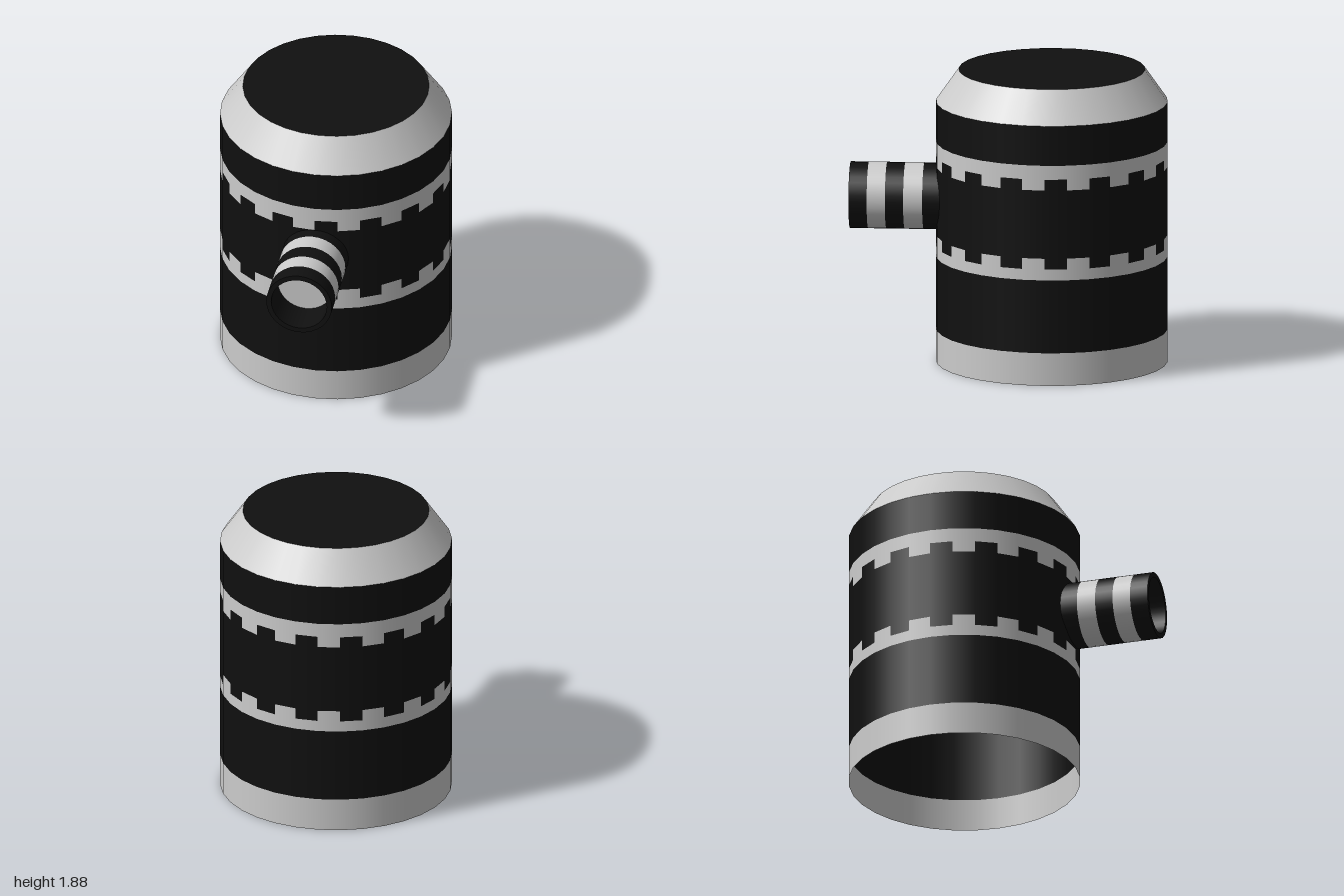
import * as THREE from 'three';
import { mergeGeometries } from 'three/addons/utils/BufferGeometryUtils.js';

const SIDES = 32;
const STEP = (Math.PI * 2) / SIDES;
const R = 0.73;
const grey = new THREE.MeshStandardMaterial({ color: 0xcccccc, side: THREE.DoubleSide });
const black = new THREE.MeshStandardMaterial({ color: 0x101010, side: THREE.DoubleSide });

// Open ring of wall between two heights
function wall(y0, y1, r0, r1, sides = SIDES, start = 0, length = Math.PI * 2) {
  return new THREE.CylinderGeometry(r1, r0, y1 - y0, sides, 1, true, start, length)
    .translate(0, (y0 + y1) / 2, 0);
}

// Every second one-side-wide panel around the wall
function panels(y0, y1, offset) {
  const list = [];
  for (let i = offset; i < SIDES; i += 2) list.push(wall(y0, y1, R, R, 1, i * STEP, STEP));
  return mergeGeometries(list);
}

function add(parent, name, geometry, material) {
  const mesh = new THREE.Mesh(geometry, material);
  mesh.name = name;
  parent.add(mesh);
  return mesh;
}

export function createModel() {
  const model = new THREE.Group();
  model.name = 'bandedDrum';

  // Hollow drum, open underneath
  const drum = new THREE.Group();
  drum.name = 'drum';
  drum.position.z = -0.27;
  model.add(drum);
  const bands = [
    ['baseBand', 0, 0.21, grey],
    ['lowerBand', 0.21, 0.68, black],
    ['lowerTrim', 0.68, 0.75, grey],
    ['middleBand', 0.82, 1.26, black],
    ['upperTrim', 1.33, 1.42, grey],
    ['upperBand', 1.42, 1.675, black],
  ];
  for (const [name, y0, y1, material] of bands) add(drum, name, wall(y0, y1, R, R), material);

  // Alternating teeth where the trims meet the middle band
  for (const [name, y0, y1] of [['lowerTeeth', 0.75, 0.82], ['upperTeeth', 1.26, 1.33]]) {
    add(drum, name + 'Black', panels(y0, y1, 0), black);
    add(drum, name + 'Grey', panels(y0, y1, 1), grey);
  }

  // Sloping shoulder and flat lid
  add(drum, 'shoulder', wall(1.675, 1.88, R, 0.587), grey);
  const lid = new THREE.CircleGeometry(0.587, SIDES).rotateX(-Math.PI / 2).translate(0, 1.88, 0);
  add(drum, 'lid', lid, black);

  // Striped spout; its local y runs forward along z
  const spout = new THREE.Group();
  spout.name = 'spout';
  spout.position.y = 1.05;
  spout.rotation.x = Math.PI / 2;
  model.add(spout);
  const cuts = [0.42, 0.535, 0.655, 0.77, 0.885, 1];
  for (let i = 0; i < cuts.length - 1; i++) {
    add(spout, 'spoutStripe' + (i + 1), wall(cuts[i], cuts[i + 1], 0.21, 0.21), i % 2 ? grey : black);
  }

  // Rim, bore and the grey floor of the bore
  const rim = new THREE.RingGeometry(0.178, 0.21, SIDES).rotateX(-Math.PI / 2).translate(0, 1, 0);
  add(spout, 'spoutRim', rim, black);
  add(spout, 'spoutBore', wall(0.77, 1, 0.178, 0.178), black);
  const floor = new THREE.CircleGeometry(0.178, SIDES).rotateX(-Math.PI / 2).translate(0, 0.77, 0);
  add(spout, 'spoutFloor', floor, grey);

  return model;
}
